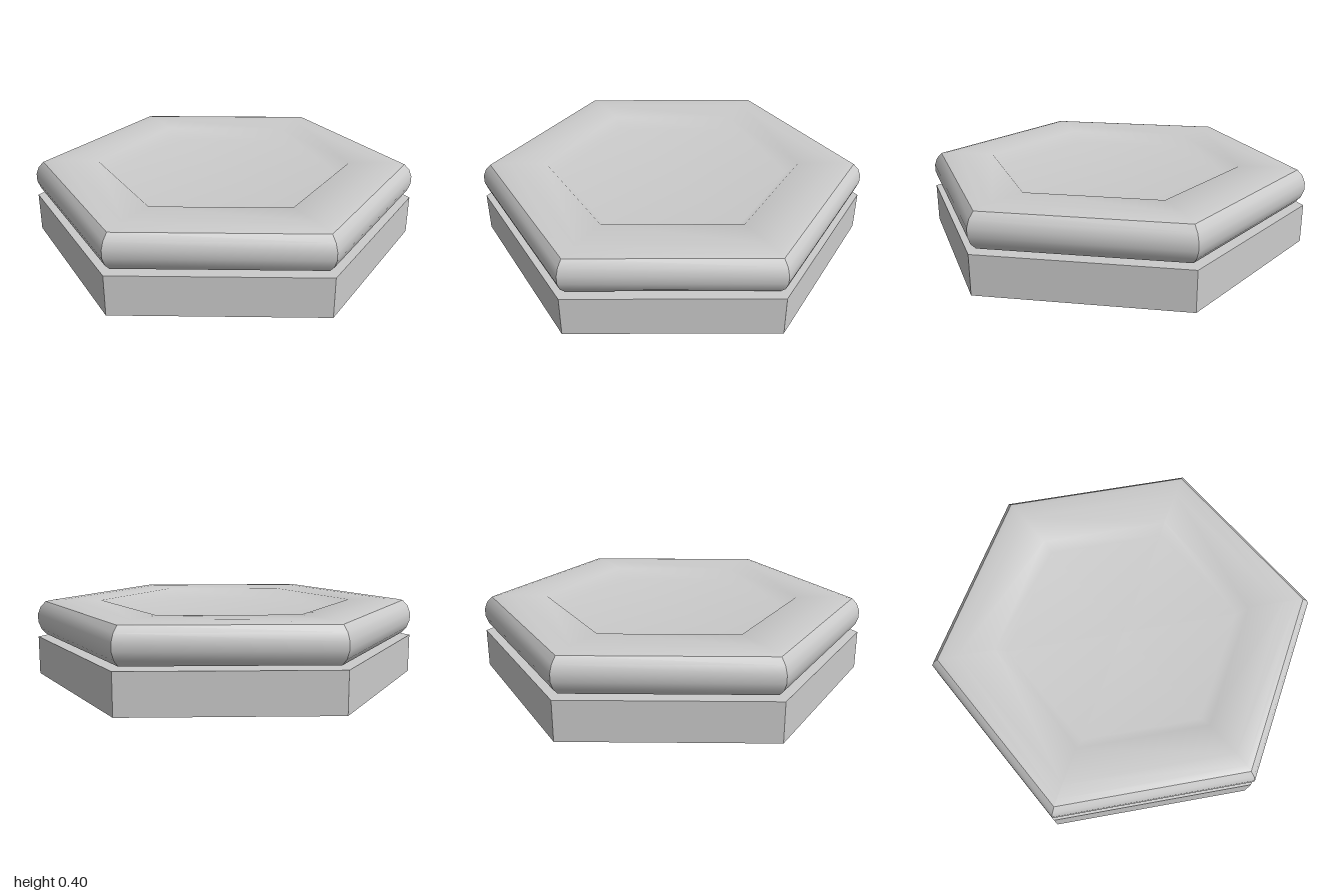
import * as THREE from 'three';
import { toCreasedNormals } from 'three/addons/utils/BufferGeometryUtils.js';

const grey = (extra = {}) => new THREE.MeshStandardMaterial({ color: 0xcccccc, ...extra });

// Six-sided lathe from [radius, y] pairs; corners point along +z and -z
const hexLathe = (profile) =>
  new THREE.LatheGeometry(profile.map(([r, y]) => new THREE.Vector2(r, y)), 6);

function addMesh(group, name, geometry, material) {
  const mesh = new THREE.Mesh(geometry, material);
  mesh.name = name;
  group.add(mesh);
}

export function createModel() {
  const model = new THREE.Group();
  model.name = 'hexagonalTile';

  // Base: thin hexagonal shell, open underneath
  addMesh(model, 'base', hexLathe([[1, 0], [1, 0.2], [0, 0.2]]),
    grey({ flatShading: true, side: THREE.DoubleSide }));

  const cushion = new THREE.Group();
  cushion.name = 'cushion';
  model.add(cushion);

  // Rounded rim: circular bulge with mitred corners, closed by a flat underside
  const steps = 5, sweep = THREE.MathUtils.degToRad(54), radius = 0.1094;
  const rim = [[0, 0.213]];
  for (let i = 0; i <= steps; i++) {
    const a = sweep * (2 * i / steps - 1);
    rim.push([1 - radius * (1 - Math.cos(a)), 0.3015 + radius * Math.sin(a)]);
  }
  addMesh(cushion, 'rim', toCreasedNormals(hexLathe(rim), Math.PI / 6), grey());

  // Recessed top: broad lip, short sloping wall and a level floor, softly shaded
  const top = [
    [0.955, 0.39], [0.92, 0.397], [0.85, 0.4], [0.66, 0.395], [0.6, 0.34], [0, 0.34],
  ];
  addMesh(cushion, 'recessedTop', hexLathe(top), grey());

  return model;
}
